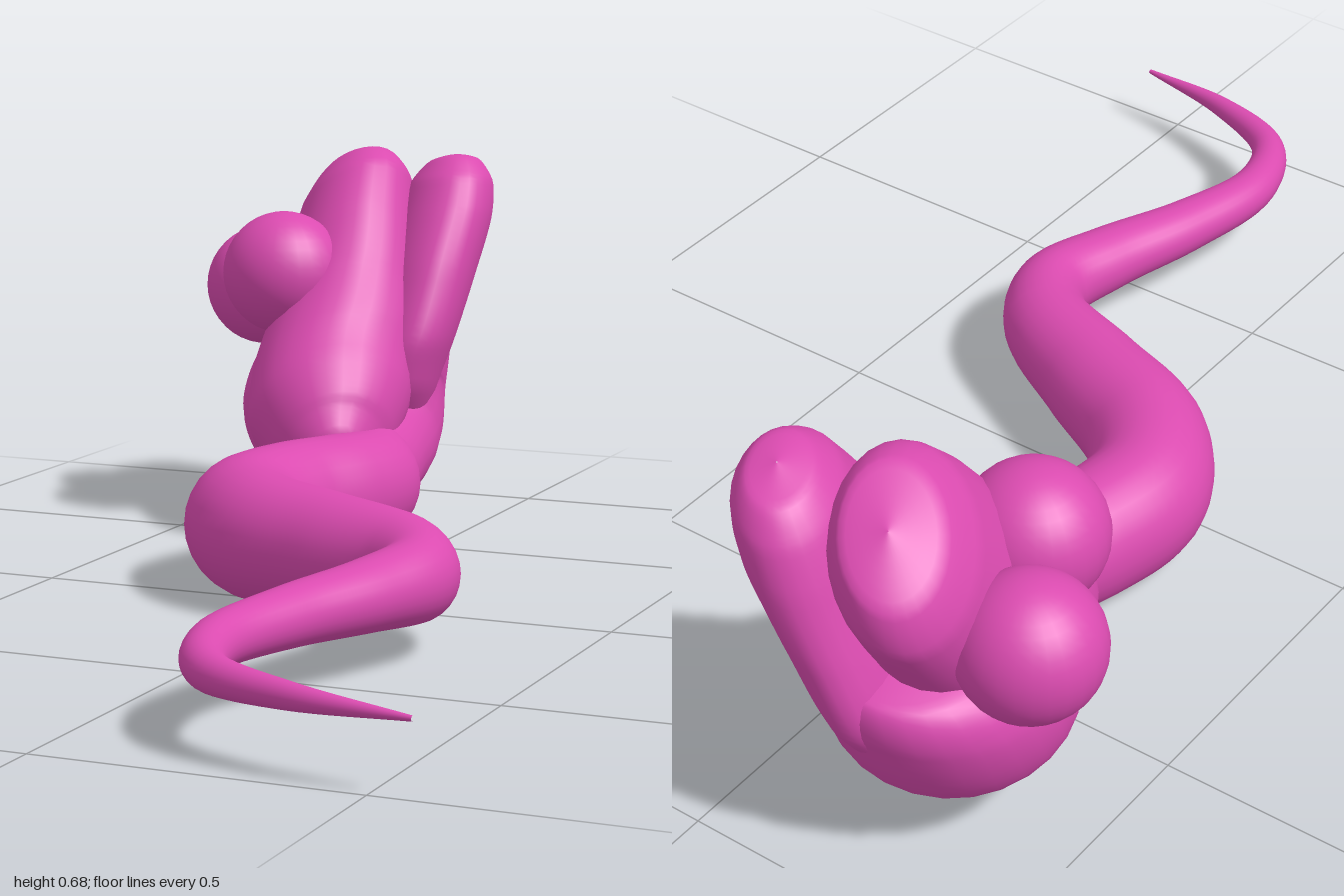
import * as THREE from 'three';

const V = (x, y, z) => new THREE.Vector3(x, y, z);
const skin = new THREE.MeshStandardMaterial({ color: 0xdb4bb0 });

// Smooth skin over elliptical sections [x, y, z, half width, half thickness].
// t is the constant thickness direction; the width stays square to the path.
function loft(sections, steps, t) {
  const sides = 28;
  t.normalize();
  const path = new THREE.CatmullRomCurve3(sections.map((s) => V(s[0], s[1], s[2])));
  const size = new THREE.CatmullRomCurve3(sections.map((s) => V(s[3], s[4], 0)));
  const pos = [], index = [];
  for (let i = 0; i <= steps; i++) {
    const c = path.getPoint(i / steps), r = size.getPoint(i / steps);
    const w = t.clone().cross(path.getTangent(i / steps)).normalize();
    for (let j = 0; j < sides; j++) {
      const a = (j / sides) * Math.PI * 2;
      const p = c.clone()
        .addScaledVector(w, Math.cos(a) * Math.max(r.x, 0.001))
        .addScaledVector(t, Math.sin(a) * Math.max(r.y, 0.001));
      pos.push(p.x, p.y, p.z);
      if (i < steps) {
        const k = (j + 1) % sides, n = i * sides;
        index.push(n + j, n + k, n + sides + j, n + k, n + sides + k, n + sides + j);
      }
    }
  }
  const g = new THREE.BufferGeometry();
  g.setAttribute('position', new THREE.Float32BufferAttribute(pos, 3));
  g.setIndex(index);
  g.computeVertexNormals();
  return g;
}

export function createModel() {
  const model = new THREE.Group();
  const add = (name, geometry) => {
    const mesh = new THREE.Mesh(geometry, skin);
    mesh.name = name;
    model.add(mesh);
    return mesh;
  };

  // Winding body, from tail tip to neck
  add('body', loft([
    [0.56, 0.107, 0.99, 0.004, 0.004],
    [0.37, 0.11, 0.957, 0.018, 0.02],
    [0.22, 0.112, 0.885, 0.03, 0.03],
    [0.165, 0.115, 0.75, 0.04, 0.038],
    [0.195, 0.118, 0.57, 0.05, 0.046],
    [0.25, 0.12, 0.4, 0.06, 0.056],
    [0.274, 0.121, 0.27, 0.065, 0.068],
    [0.22, 0.12, 0.18, 0.076, 0.08],
    [0.06, 0.115, 0.1, 0.092, 0.095],
    [-0.1, 0.111, 0.02, 0.102, 0.108],
    [-0.178, 0.111, -0.1, 0.104, 0.11],
    [-0.165, 0.112, -0.24, 0.1, 0.109],
    [-0.125, 0.113, -0.36, 0.098, 0.105],
    [-0.115, 0.114, -0.46, 0.098, 0.1],
    [-0.165, 0.125, -0.555, 0.09, 0.1],
  ], 110, V(0, 1, 0)));

  // Back of the head, swelling out of the neck and bending upwards
  add('headBulb', loft([
    [-0.125, 0.115, -0.48, 0.095, 0.09],
    [-0.18, 0.13, -0.57, 0.108, 0.13],
    [-0.235, 0.16, -0.665, 0.14, 0.175],
    [-0.268, 0.225, -0.725, 0.18, 0.19],
    [-0.262, 0.305, -0.755, 0.197, 0.18],
    [-0.24, 0.36, -0.775, 0.17, 0.13],
    [-0.23, 0.39, -0.785, 0.001, 0.001],
  ], 44, V(0.85, 0, -0.51)));

  // Jaw that carries the eyes, rising out of the neck
  add('upperJaw', loft([
    [-0.15, 0.13, -0.4, 0.001, 0.001],
    [-0.158, 0.14, -0.42, 0.085, 0.06],
    [-0.185, 0.17, -0.475, 0.125, 0.11],
    [-0.22, 0.23, -0.545, 0.15, 0.15],
    [-0.245, 0.3, -0.63, 0.165, 0.155],
    [-0.265, 0.39, -0.715, 0.168, 0.138],
    [-0.285, 0.495, -0.795, 0.165, 0.12],
    [-0.3, 0.575, -0.858, 0.155, 0.105],
    [-0.31, 0.625, -0.893, 0.11, 0.072],
    [-0.313, 0.643, -0.905, 0.001, 0.001],
  ], 54, V(0.78, 0, -0.62)));

  // Flat jaw on the other side of the mouth
  add('lowerJaw', loft([
    [-0.2, 0.16, -0.735, 0.1, 0.07],
    [-0.19, 0.24, -0.757, 0.175, 0.085],
    [-0.175, 0.32, -0.785, 0.2, 0.09],
    [-0.15, 0.44, -0.825, 0.178, 0.092],
    [-0.128, 0.55, -0.865, 0.142, 0.09],
    [-0.12, 0.615, -0.885, 0.112, 0.078],
    [-0.118, 0.655, -0.896, 0.07, 0.048],
    [-0.118, 0.668, -0.9, 0.001, 0.001],
  ], 44, V(0.85, 0, -0.51)));

  // Pair of bulging eyes
  const eyes = { frontEye: [-0.345, 0.465, -0.622], rearEye: [-0.452, 0.42, -0.778] };
  for (const [name, p] of Object.entries(eyes)) {
    add(name, new THREE.SphereGeometry(0.112, 28, 20)).position.set(...p);
  }
  return model;
}
